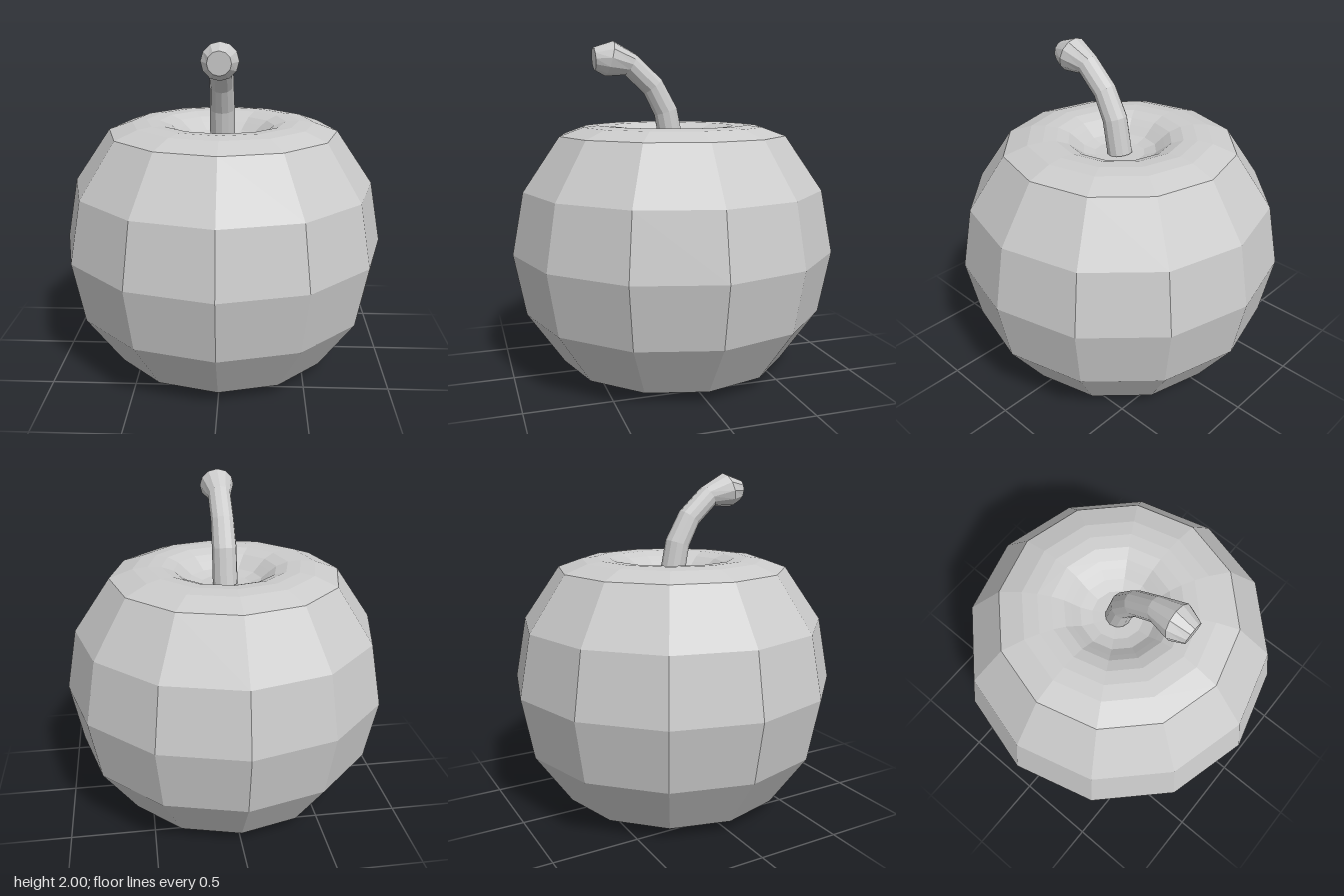
import * as THREE from 'three';

const SIDES = 12;

// Round fruit body: one profile from the underside dimple, round the outside, into the top hollow
function makeBody(material) {
  const profile = [
    [0, 0.025], [0.14, 0.025], [0.21, 0.012], [0.26, 0.003], [0.33, 0],
    [0.69, 0.07], [0.91, 0.39], [0.98, 0.76], [0.91, 1.13], [0.69, 1.45],
    [0.55, 1.5], [0.46, 1.51], [0.38, 1.505], [0.31, 1.48], [0.27, 1.45],
    [0.22, 1.41], [0.15, 1.388], [0, 1.383],
  ].map(([r, y]) => new THREE.Vector2(r, y));
  const body = new THREE.Mesh(new THREE.LatheGeometry(profile, SIDES), material);
  body.name = 'body';
  return body;
}

// Curved stem: a cylinder whose rows are moved onto tilted rings leaning to the front
function makeStem(material) {
  // height, forward offset, radius, tilt from upright in degrees
  const rings = [
    [1.385, 0, 0.075, 8],
    [1.59, 0.04, 0.074, 18],
    [1.74, 0.12, 0.07, 38],
    [1.865, 0.255, 0.07, 58],
    [1.9, 0.385, 0.105, 76],
    [1.897, 0.476, 0.066, 94],
  ];
  const rows = rings.length - 1;
  const geometry = new THREE.CylinderGeometry(1, 1, 1, SIDES, rows);
  const pos = geometry.attributes.position;
  for (let i = 0; i < pos.count; i++) {
    const [y, z, radius, tilt] = rings[Math.round((pos.getY(i) + 0.5) * rows)];
    const a = THREE.MathUtils.degToRad(tilt);
    const side = pos.getX(i) * radius;
    const depth = pos.getZ(i) * radius;
    pos.setXYZ(i, side, y - depth * Math.sin(a), z + depth * Math.cos(a));
  }
  geometry.computeVertexNormals();
  const stem = new THREE.Mesh(geometry, material);
  stem.name = 'stem';
  return stem;
}

export function createModel() {
  const material = new THREE.MeshStandardMaterial({ color: 0xcccccc, flatShading: true });
  const model = new THREE.Group();
  model.name = 'fruit';
  model.add(makeBody(material), makeStem(material));
  return model;
}
